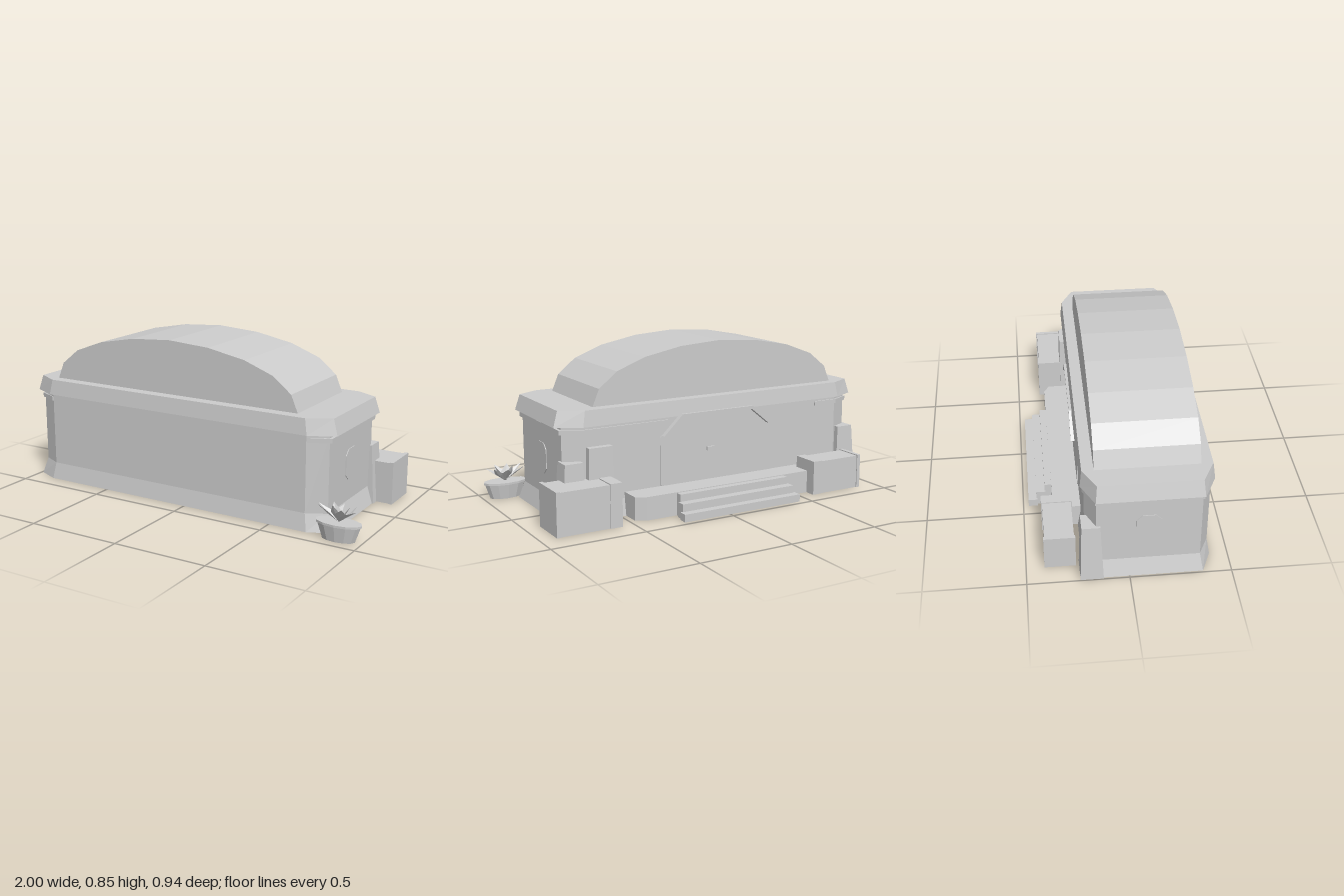
import * as THREE from 'three';

const CX = -0.085; // centre line of the building

export function createModel() {
  const root = new THREE.Group();
  root.name = 'domedBuilding';
  // Double sided: the skirt, blocks and leaves are open shells
  const grey = new THREE.MeshStandardMaterial({ color: 0xcccccc, side: THREE.DoubleSide });
  grey.name = 'plain grey';

  const add = (name, geo, parent = root) => {
    const mesh = new THREE.Mesh(geo, grey);
    mesh.name = name;
    parent.add(mesh);
    return mesh;
  };
  const faceted = (geo) => {
    const g = geo.index ? geo.toNonIndexed() : geo;
    g.computeVertexNormals();
    return g;
  };

  // Plan outlines
  const rect = (x0, x1, z0, z1) => [[x1, z0], [x1, z1], [x0, z1], [x0, z0]];
  const octagon = (x0, x1, z0, z1, cx, cz) => [
    [x1, z0 + cz], [x1, z1 - cz], [x1 - cx, z1], [x0 + cx, z1],
    [x0, z1 - cz], [x0, z0 + cz], [x0 + cx, z0], [x1 - cx, z0],
  ];
  // Solid through stacked plan outlines: [[y, outline], ...]; the underside can be left open
  const loft = (sections, closed = true) => {
    const pos = [];
    const rings = sections.map(([y, pts]) => pts.map(([x, z]) => [x, y, z]));
    const n = rings[0].length;
    const tri = (a, b, c) => pos.push(...a, ...b, ...c);
    for (let s = 0; s < rings.length - 1; s++) {
      for (let i = 0; i < n; i++) {
        const j = (i + 1) % n;
        const lo = rings[s], hi = rings[s + 1];
        tri(lo[j], lo[i], hi[i]);
        tri(lo[j], hi[i], hi[j]);
      }
    }
    const bottom = rings[0], top = rings[rings.length - 1];
    for (let i = 1; i < n - 1; i++) {
      if (closed) tri(bottom[0], bottom[i], bottom[i + 1]);
      tri(top[0], top[i + 1], top[i]);
    }
    const g = new THREE.BufferGeometry();
    g.setAttribute('position', new THREE.Float32BufferAttribute(pos, 3));
    return faceted(g);
  };
  // Block on the ground without an underside
  const block = (name, x0, x1, h, z0, z1) =>
    add(name, loft([[0, rect(x0, x1, z0, z1)], [h, rect(x0, x1, z0, z1)]], false));
  const extrude = (pts, depth) => new THREE.ExtrudeGeometry(
    new THREE.Shape(pts.map(([x, y]) => new THREE.Vector2(x, y))), { depth, bevelEnabled: false });

  // Walls, hollow flared skirt closed by the floor, and overhanging ledge
  const wall = octagon(-0.96, 0.79, -0.21, 0.395, 0.1, 0.05);
  add('walls', loft([[0.09, wall], [0.49, wall]], false));
  add('skirtAndFloor', loft([
    [0, octagon(-0.99, 0.82, -0.225, 0.41, 0.115, 0.05)], [0.09, wall],
  ], false));
  add('roofLedge', loft([
    [0.485, octagon(-1, 0.83, -0.228, 0.413, 0.13, 0.065)],
    [0.567, octagon(-0.975, 0.805, -0.218, 0.403, 0.12, 0.063)],
  ]));

  // Barrel dome
  const halfDome = [[0.74, 0.56], [0.7, 0.655], [0.6, 0.735], [0.44, 0.795], [0.23, 0.835]];
  const dome = [
    ...halfDome.map(([x, y]) => [CX - 0.035 + x, y]), [CX - 0.035, 0.85],
    ...halfDome.slice().reverse().map(([x, y]) => [CX - 0.035 - x, y]),
  ];
  add('dome', extrude(dome, 0.505).translate(0, 0, -0.16));

  // Trim bands under the ledge, wrapping each end
  const trims = [
    { inner: [[0.69, 0.39], [0.785, 0.345], [0.785, -0.16], [0.69, -0.205], [0.22, -0.205]],
      outer: [[0.695, 0.398], [0.805, 0.35], [0.805, -0.165], [0.695, -0.218], [0.22, -0.218]] },
    { inner: [[-0.72, -0.205], [-0.86, -0.205], [-0.955, -0.16], [-0.955, 0.345], [-0.86, 0.39]],
      outer: [[-0.72, -0.218], [-0.865, -0.218], [-0.97, -0.165], [-0.97, 0.35], [-0.865, 0.398]] },
  ];
  for (const { inner, outer } of trims) {
    for (let i = 0; i < inner.length - 1; i++) {
      const ring = [outer[i + 1], outer[i], inner[i], inner[i + 1]];
      add('trimBand', loft([[0.447, ring], [0.47, ring]]));
    }
  }

  // Side windows, almost flush
  const pane = [[0.03, 0.23], [0.06, 0.2], [0.125, 0.2], [0.155, 0.23],
    [0.155, 0.33], [0.125, 0.36], [0.06, 0.36], [0.03, 0.33]];
  for (const x of [0.788, -0.964]) {
    const g = extrude(pane.map(([z, y]) => [-z, y]), 0.006).rotateY(Math.PI / 2);
    add('sideWindow', g.translate(x, 0, 0));
  }

  // Door panel, arched canopy and small plaque on the back
  add('doorPanel', extrude([
    [CX - 0.32, 0.1], [CX + 0.32, 0.1], [CX + 0.35, 0.13], [CX + 0.35, 0.38], [CX + 0.23, 0.484],
    [CX - 0.23, 0.484], [CX - 0.35, 0.38], [CX - 0.35, 0.13],
  ], 0.006).translate(0, 0, -0.214));
  add('doorCanopy', extrude([
    [CX - 0.32, 0.39], [CX - 0.305, 0.39], [CX - 0.195, 0.479], [CX + 0.225, 0.479],
    [CX + 0.325, 0.39], [CX + 0.34, 0.39], [CX + 0.23, 0.495], [CX - 0.2, 0.495],
  ], 0.028).translate(0, 0, -0.241));
  add('doorPlaque', new THREE.BoxGeometry(0.045, 0.02, 0.016).translate(CX + 0.05, 0.29, -0.218));

  // Tapered buttresses on the back corners
  for (const s of [-1, 1]) {
    const span = (a, b) => [CX + s * a, CX + s * b].sort((p, q) => p - q);
    add('cornerButtress', loft([
      [0, rect(...span(0.78, 0.912), -0.24, -0.127)],
      [0.31, rect(...span(0.79, 0.888), -0.23, -0.14)],
    ], false));
  }
  add('tallBlock', loft([
    [0, rect(0.54, 0.69, -0.248, -0.19)],
    [0.38, rect(0.55, 0.68, -0.245, -0.19)],
  ], false));

  // Porch with one clipped corner, and steps
  const porch = [[0.47, -0.2], [-0.6, -0.2], [-0.6, -0.35], [0.42, -0.35], [0.47, -0.32]];
  add('porch', loft([[0, porch], [0.122, porch]], false));
  [[0.33, 0.118, -0.385, -0.345], [0.34, 0.08, -0.43, -0.38], [0.353, 0.04, -0.472, -0.425]]
    .forEach(([w, h, z0, z1]) => block('step', CX - w, CX + w, h, z0, z1));

  // Storage boxes with raised collars
  const crate = (name, x0, x1, h, z0, z1, collars) => {
    block(name, x0, x1, h - 0.005, z0 + 0.005, z1 - 0.005);
    for (const [a, b] of collars) block(name + 'Collar', a, b, h, z0, z1);
  };
  crate('rightBox', -0.89, -0.58, 0.185, -0.41, -0.255, [[-0.895, -0.875], [-0.63, -0.575]]);
  crate('leftBox', 0.57, 0.91, 0.226, -0.375, -0.165, [[0.895, 0.915], [0.565, 0.63]]);

  // Oval planter with a rosette of pointed leaves
  const planter = new THREE.Group();
  planter.name = 'planter';
  planter.position.set(0.877, 0, 0.41);
  planter.scale.x = 2;
  root.add(planter);
  add('pot', faceted(new THREE.CylinderGeometry(0.057, 0.043, 0.08, 12)).translate(0, 0.04, 0), planter);
  add('potRim', faceted(new THREE.CylinderGeometry(0.06, 0.06, 0.011, 12)).translate(0, 0.0845, 0), planter);
  const leafCount = 9;
  for (let i = 0; i < leafCount; i++) {
    const inner = i % 3 === 0;
    const r = inner ? 0.03 : 0.058, tip = inner ? 0.176 : 0.162 + 0.008 * (i % 2);
    const mid = r * 0.5, w = 0.015, y = 0.135;
    const g = new THREE.BufferGeometry();
    g.setAttribute('position', new THREE.Float32BufferAttribute([
      0, 0.088, 0, mid, y - 0.01, 0, mid, y, -w,
      0, 0.088, 0, mid, y, w, mid, y - 0.01, 0,
      r, tip, 0, mid, y, -w, mid, y - 0.01, 0,
      r, tip, 0, mid, y - 0.01, 0, mid, y, w,
    ], 3));
    g.computeVertexNormals();
    add('leaf', g.rotateY((i / leafCount) * Math.PI * 2 + 0.15), planter);
  }
  return root;
}
